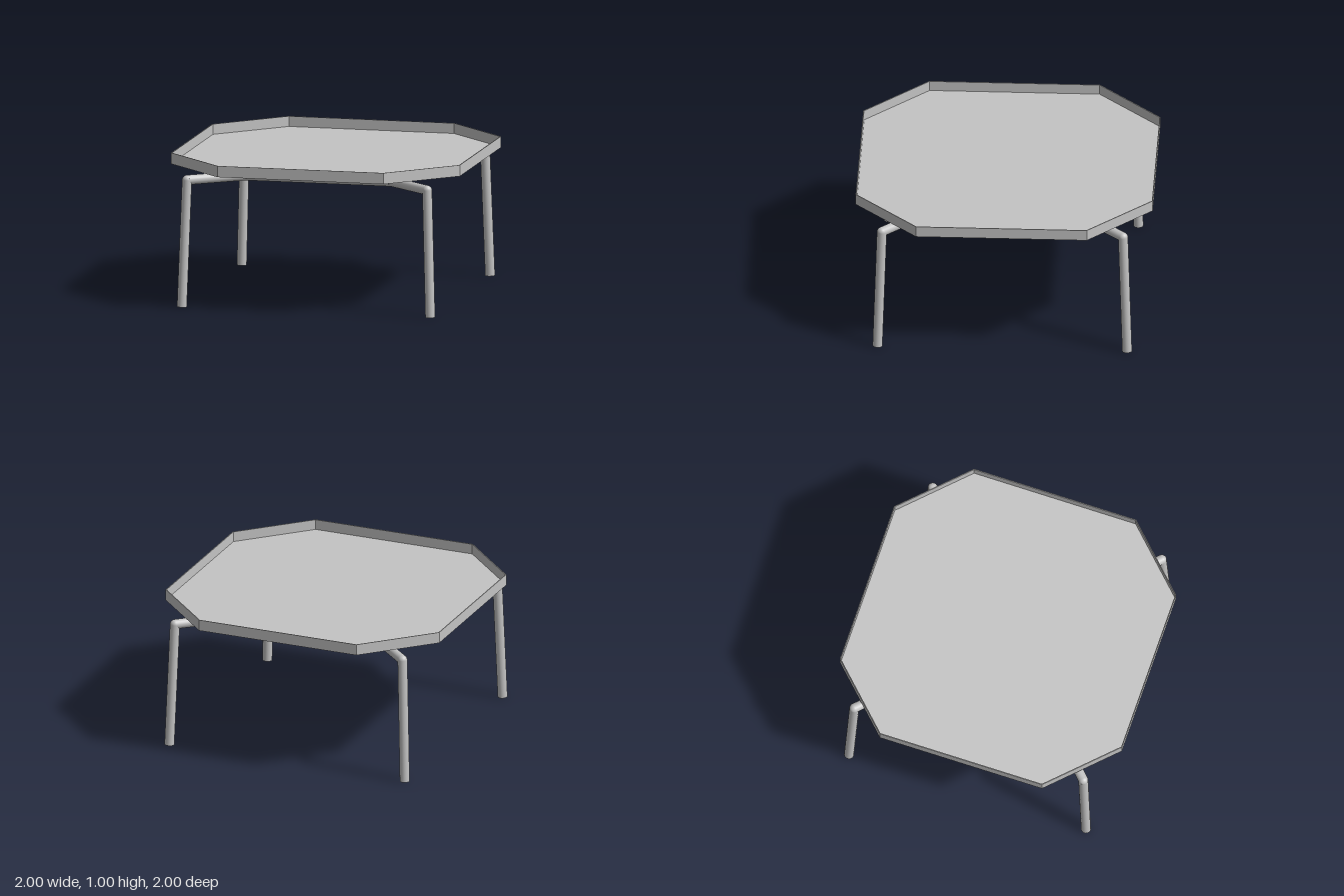
import * as THREE from 'three';

const metal = new THREE.MeshStandardMaterial({ color: 0xc4c4c4 });
metal.name = 'light grey metal';

// Chamfered square outline; inset moves every side inwards equally
function octagon(Type, inset = 0) {
  const a = 1 - inset, b = 0.575 - inset * 0.414;
  const pts = [[b, a], [-b, a], [-a, b], [-a, -b], [-b, -a], [b, -a], [a, -b], [a, b]];
  return new Type(pts.map(([x, y]) => new THREE.Vector2(x, y)));
}

function slab(name, shape, depth, y) {
  const geo = new THREE.ExtrudeGeometry(shape, { depth, bevelEnabled: false });
  geo.rotateX(-Math.PI / 2);
  const mesh = new THREE.Mesh(geo, metal);
  mesh.name = name;
  mesh.position.y = y;
  return mesh;
}

// Round bar between two points
function bar(name, a, b, r = 0.033) {
  const dir = b.clone().sub(a);
  const mesh = new THREE.Mesh(new THREE.CylinderGeometry(r, r, dir.length(), 20), metal);
  mesh.name = name;
  mesh.position.copy(a).add(b).multiplyScalar(0.5);
  mesh.quaternion.setFromUnitVectors(new THREE.Vector3(0, 1, 0), dir.normalize());
  return mesh;
}

function joint(name, p, r = 0.033) {
  const mesh = new THREE.Mesh(new THREE.SphereGeometry(r, 20, 12), metal);
  mesh.name = name;
  mesh.position.copy(p);
  return mesh;
}

export function createModel() {
  const model = new THREE.Group();
  model.name = 'trayTable';

  // Tray: thin floor with a thin upright rim
  const rim = octagon(THREE.Shape);
  rim.holes.push(octagon(THREE.Path, 0.006));
  model.add(slab('trayRim', rim, 0.076, 0.925));
  model.add(slab('trayFloor', octagon(THREE.Shape, 0.005), 0.006, 0.925));

  // Underframe square, with a post, arm and splayed leg at each corner
  const corners = [[1, 1], [-1, 1], [-1, -1], [1, -1]];
  const at = (i, x, y, z) => new THREE.Vector3(corners[i % 4][0] * x, y, corners[i % 4][1] * z);
  for (let i = 0; i < 4; i++) {
    const inner = at(i, 0.505, 0.853, 0.49);
    const elbow = at(i, 0.832, 0.863, 0.812);
    model.add(bar('frameRail', inner, at(i + 1, 0.505, 0.853, 0.49)));
    model.add(joint('frameJoint', inner));
    model.add(bar('trayPost', inner, at(i, 0.505, 0.926, 0.49), 0.032));

    const leg = new THREE.Group();
    leg.name = 'leg';
    leg.add(bar('legArm', inner, elbow));
    leg.add(joint('legElbow', elbow));
    leg.add(bar('legUpright', elbow, at(i, 0.86, 0.001, 0.84)));
    model.add(leg);
  }
  return model;
}
